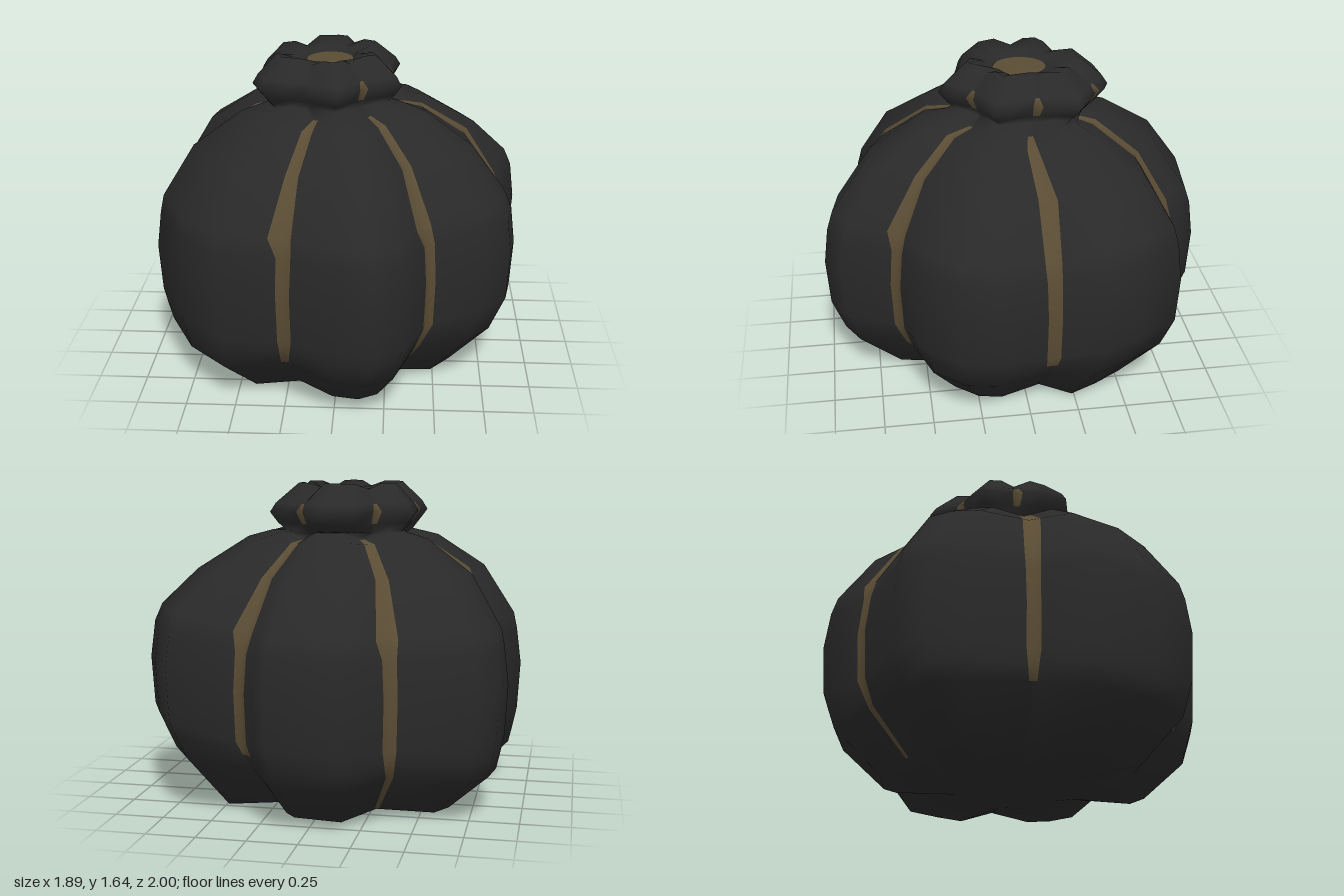
import * as THREE from 'three';

// Plan outlines as [x, z]: six lobes of four points, each lobe starting at its groove
const BODY = [
  [[0.86, -0.1], [0.91, 0.19], [0.88, 0.36], [0.74, 0.53]],
  [[0.46, 0.64], [0.34, 0.92], [0.2, 1], [0.01, 0.965]],
  [[-0.24, 0.84], [-0.57, 0.82], [-0.79, 0.6], [-0.95, 0.27]],
  [[-0.83, 0], [-0.92, -0.33], [-0.89, -0.51], [-0.8, -0.65]],
  [[-0.4, -0.8], [-0.18, -1], [0.17, -0.96], [0.25, -0.87]],
  [[0.33, -0.79], [0.72, -0.75], [0.85, -0.54], [0.945, -0.34]],
];
const NECK = [
  [[0.26, -0.1], [0.29, 0.04], [0.31, 0.12], [0.22, 0.17]],
  [[0.12, 0.22], [0.06, 0.3], [0, 0.37], [-0.08, 0.33]],
  [[-0.17, 0.28], [-0.28, 0.255], [-0.4, 0.23], [-0.45, 0.1]],
  [[-0.42, -0.03], [-0.43, -0.13], [-0.43, -0.23], [-0.34, -0.28]],
  [[-0.25, -0.32], [-0.16, -0.48], [0, -0.5], [0.07, -0.47]],
  [[0.12, -0.42], [0.21, -0.365], [0.3, -0.31], [0.28, -0.2]],
];
const CAP = BODY.map((_, k) => [0, 1, 2, 3].map(i => {
  const angle = THREE.MathUtils.degToRad(60 * k + 15 * i - 5);
  return [0.12 * Math.cos(angle), 0.135 * Math.sin(angle)];
}));

// Rings from bottom to top: outline, height, scale, groove lift, stripe half width, centre shift
const RINGS = [
  [BODY, 0, 0.35, 0, 0.02, 0, 0],
  [BODY, 0.015, 0.69, 0.035, 0.012, -0.02, 0],
  [BODY, 0.22, 0.92, 0.05, 0.02, -0.02, 0],
  [BODY, 0.32, 0.955, 0.025, 0.028, -0.01, 0],
  [BODY, 0.41, 0.985, 0, 0.036, 0, 0],
  [BODY, 0.66, 1, 0, 0.036, 0, 0],
  [BODY, 0.85, 0.975, 0, 0.038, 0, 0],
  [BODY, 0.94, 0.945, 0, 0.042, -0.01, 0],
  [BODY, 1.2, 0.765, 0, 0.034, -0.02, 0],
  [BODY, 1.365, 0.505, -0.015, 0.028, -0.025, 0],
  [BODY, 1.4, 0.37, -0.035, 0.014, -0.025, -0.02],
  [NECK, 1.41, 0.82, -0.015, 0.01, -0.015, -0.01],
  [NECK, 1.445, 0.9, 0, 0.018, -0.005, -0.005],
  [NECK, 1.5, 1, 0.01, 0.026, 0, 0],
  [NECK, 1.545, 0.93, 0, 0.01, -0.005, -0.005],
  [NECK, 1.645, 0.66, -0.03, 0.02, -0.03, -0.02],
  [NECK, 1.615, 0.45, 0, 0.02, -0.04, -0.035],
  [CAP, 1.595, 1, 0, 0.02, -0.06, -0.05],
];
const COLS = 36;
// How far each lobe's flank sits above the common ring height
const LOBE_LIFT = [0.03, 0.01, 0, 0, 0.01, 0.08];
const STRIPE_START = [3, 1, 2, 2, 1, 3]; // ring where each groove's stripe begins
const PLAIN_NECK = 2;                    // groove without a mark on the neck
const BULGE_RING = [8, 7, 7, 8, 7, 7];   // where each stripe bulges to one side
const BULGE_BACK = [0, 3];               // grooves whose bulge faces the preceding lobe

// Every ring is widened to six columns per lobe: groove, stripe edge, three lobe points, stripe edge
function ringPoints(index) {
  const [outline, y, scale, lift, width, dx, dz] = RINGS[index];
  const place = ([x, z], h) => new THREE.Vector3(x * scale + dx, h, z * scale + dz);
  const edge = (groove, lobe, w) =>
    groove.clone().lerp(lobe, Math.min(0.6, w / groove.distanceTo(lobe)));
  const halfWidth = (groove, back) =>
    BULGE_RING[groove] === index && BULGE_BACK.includes(groove) === back ? width * 1.8 : width;
  const points = [];
  outline.forEach((lobe, k) => {
    const next = (k + 1) % 6;
    const flank = index >= 2 && index <= 7 ? LOBE_LIFT[k] : 0;
    const groove = place(lobe[0], y + lift);
    const nextGroove = place(outline[next][0], y + lift);
    const [a, b, c] = lobe.slice(1).map(p => place(p, y + flank));
    points.push(groove, edge(groove, a, halfWidth(k, false)), a, b, c,
      edge(nextGroove, c, halfWidth(next, true)));
  });
  return points;
}

function isStripe(ring, col) {
  const side = col % 6;
  if (side !== 0 && side !== 5) return false;
  const groove = (Math.floor(col / 6) + (side === 5 ? 1 : 0)) % 6;
  const onBody = ring >= STRIPE_START[groove] && ring < 10;
  const onNeck = ring >= 12 && ring < 14 && groove !== PLAIN_NECK;
  return onBody || onNeck;
}

// Closed skin with one geometry group for the shell and one for the stripes
function gourdGeometry() {
  const points = RINGS.flatMap((_, i) => ringPoints(i));
  const bottom = points.length;
  points.push(new THREE.Vector3(0, 0, 0));
  const shell = [], stripes = [];
  for (let i = 0; i < RINGS.length - 1; i++) {
    for (let j = 0; j < COLS; j++) {
      const a = i * COLS + j, b = i * COLS + (j + 1) % COLS;
      const c = a + COLS, d = b + COLS;
      (isStripe(i, j) ? stripes : shell).push(a, c, b, b, c, d);
    }
  }
  for (let j = 0; j < COLS; j++) shell.push(bottom, j, (j + 1) % COLS);
  const geometry = new THREE.BufferGeometry().setFromPoints(points);
  geometry.setIndex([...shell, ...stripes]);
  geometry.addGroup(0, shell.length, 0);
  geometry.addGroup(shell.length, stripes.length, 1);
  geometry.computeVertexNormals();
  return geometry;
}

// Disc closing the hollow on top of the neck
function capGeometry() {
  const rim = ringPoints(RINGS.length - 1);
  const index = [];
  for (let j = 0; j < COLS; j++) index.push(COLS, (j + 1) % COLS, j);
  const geometry = new THREE.BufferGeometry();
  geometry.setFromPoints([...rim, new THREE.Vector3(-0.06, 1.6, -0.05)]);
  geometry.setIndex(index);
  geometry.computeVertexNormals();
  return geometry;
}

export function createModel() {
  const charcoal = new THREE.MeshStandardMaterial({ color: 0x292929 });
  charcoal.name = 'charcoal';
  const bronze = new THREE.MeshStandardMaterial({ color: 0x5a4c34 });
  bronze.name = 'bronze';

  const group = new THREE.Group();
  group.name = 'lobedGourd';
  const body = new THREE.Mesh(gourdGeometry(), [charcoal, bronze]);
  body.name = 'bodyAndNeck';
  const cap = new THREE.Mesh(capGeometry(), bronze);
  cap.name = 'topCap';
  group.add(body, cap);
  return group;
}
